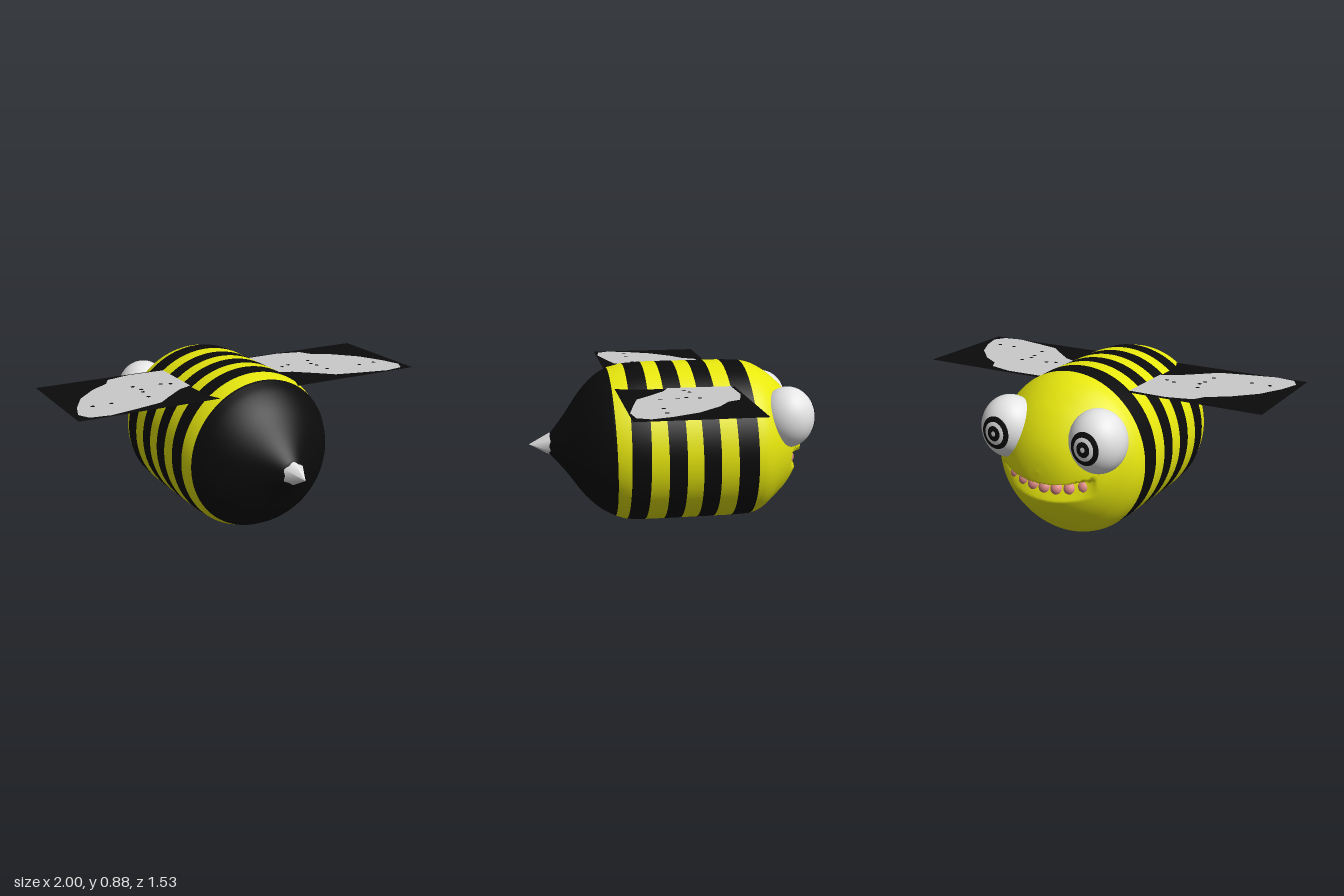
import * as THREE from 'three';

const flat = (name, color, side = THREE.FrontSide) => {
  const m = new THREE.MeshStandardMaterial({ color, side });
  m.name = name;
  return m;
};

export function createModel() {
  const yellow = flat('yellow', 0xe8e80e);
  const black = flat('black', 0x0b0b0b, THREE.DoubleSide);
  const white = flat('eye white', 0xe4e4e4);
  const wingGrey = flat('wing grey', 0xcacaca, THREE.DoubleSide);
  const pink = flat('tooth pink', 0xdc8a86);

  const bee = new THREE.Group();
  bee.name = 'bee';
  const add = (name, geometry, material, parent = bee) => {
    const mesh = new THREE.Mesh(geometry, material);
    mesh.name = name;
    parent.add(mesh);
    return mesh;
  };

  // Body: rings from tail (+z) to head (-z), each [z at top, z at bottom, radius, material index]
  const CY = 0.438, SEG = 120;
  const sample = (pts, n) =>
    new THREE.CatmullRomCurve3(pts.map(([z, r]) => new THREE.Vector3(r, 0, z))).getPoints(n);
  const rings = [[0.66, 0.66, 0, 1]];
  sample([[0.66, 0.05], [0.58, 0.15], [0.477, 0.295], [0.4, 0.37], [0.335, 0.41]], 20)
    .forEach((p, i) => rings.push([p.z, p.z - 0.025 * (i / 20), p.x, 1]));
  const stripes = [
    [0.25, 0.25, 0.431], [0.15, 0.15, 0.437], [0.07, 0.045, 0.438], [-0.025, -0.05, 0.438],
    [-0.107, -0.14, 0.438], [-0.2, -0.235, 0.438], [-0.29, -0.333, 0.438], [-0.403, -0.44, 0.434],
  ];
  rings[rings.length - 1][3] = 0;
  stripes.forEach(([t, b, r], i) => rings.push([t, b, r, i % 2 ? 0 : 1]));
  const headStart = rings.length;
  sample([[-0.403, 0.434], [-0.465, 0.418], [-0.53, 0.383], [-0.59, 0.336], [-0.64, 0.287],
    [-0.69, 0.218], [-0.725, 0.145], [-0.742, 0.075], [-0.748, 0]], 70)
    .slice(1).forEach((p, i) => rings.push([p.z, p.z - 0.037 * Math.max(0, 1 - i / 20), p.x, 0]));

  const pos = [], index = [];
  const body = new THREE.BufferGeometry();
  rings.forEach(([zTop, zBottom, r, mat], i) => {
    for (let j = 0; j < SEG; j++) {
      const a = (j / SEG) * Math.PI * 2;
      const x = r * Math.sin(a), y = CY + r * Math.cos(a);
      let z = THREE.MathUtils.lerp(zTop, zBottom, (1 - Math.cos(a)) / 2);
      // Smile: a notch cut in under the upper lip, sloping out to the lower lip
      const rise = (y - (0.275 + 0.6 * x * x)) / 0.1;
      if (i >= headStart && Math.abs(x) < 0.28 && rise > 0 && rise < 1)
        z += 0.075 * rise * (1 - (x / 0.28) ** 4);
      pos.push(x, y, z);
      if (i === rings.length - 1) continue;
      const k = (j + 1) % SEG, p = i * SEG, q = p + SEG;
      index.push(p + j, p + k, q + j, p + k, q + k, q + j);
    }
    if (i < rings.length - 1) body.addGroup(i * SEG * 6, SEG * 6, mat);
  });
  body.setAttribute('position', new THREE.Float32BufferAttribute(pos, 3));
  body.setIndex(index);
  body.computeVertexNormals();
  add('stripedBody', body, [yellow, black]);

  // Sting
  const sting = add('sting', new THREE.ConeGeometry(0.064, 0.115, 6).rotateX(Math.PI / 2), white);
  sting.position.set(0, 0.44, 0.71);

  // Teeth along the smile
  for (let i = -3; i <= 3; i++) {
    const x = i * 0.068;
    const tooth = add('tooth', new THREE.SphereGeometry(0.035, 16, 12), pink);
    tooth.position.set(x, 0.335 + 0.6 * x * x, -0.678 + 1.1 * x * x);
  }

  // Eyes: egg-shaped balls with curved ring and pupil plates facing -z
  const cap = (r, from, to) =>
    new THREE.SphereGeometry(r, 40, 8, 0, Math.PI * 2, from, to - from).rotateX(-Math.PI / 2);
  for (const [name, x, z] of [['leftEye', 0.25, -0.615], ['rightEye', -0.262, -0.592]]) {
    const eye = new THREE.Group();
    eye.name = name;
    eye.position.set(x, 0.6, z);
    eye.scale.set(0.15, 0.165, 0.147);
    add('eyeball', new THREE.SphereGeometry(1, 40, 28), white, eye);
    add('irisRing', cap(1.02, 0.37, 0.54), black, eye);
    add('pupil', cap(1.02, 0.08, 0.24), black, eye);
    bee.add(eye);
  }

  // Wings: one flat black sheet with a pale wing shape on both faces, either side
  const WY = 0.78;
  add('wingSheet', new THREE.PlaneGeometry(2, 0.635).rotateX(-Math.PI / 2), black).position.y = WY;
  const outline = [
    [0.15, -0.29], [0.26, -0.295], [0.48, -0.3], [0.615, -0.265], [0.65, -0.2], [0.75, -0.135],
    [0.865, -0.015], [0.935, 0.12], [0.97, 0.23], [0.935, 0.295], [0.83, 0.31], [0.67, 0.275],
    [0.53, 0.24], [0.46, 0.175], [0.35, 0.08], [0.26, 0.04], [0.15, 0],
  ];
  const spots = [[0.55, -0.075], [0.53, -0.01], [0.54, 0.035], [0.4, -0.05], [0.35, -0.03],
    [0.55, 0.125], [0.76, 0.14], [0.86, 0.14]];
  for (const side of [1, -1]) {
    const shape = new THREE.Shape(outline.map(([x, z]) => new THREE.Vector2(side * x, -z)));
    for (const face of [1, -1]) {
      const wing = add(side > 0 ? 'leftWing' : 'rightWing',
        new THREE.ShapeGeometry(shape).rotateX(-face * Math.PI / 2), wingGrey);
      wing.position.y = WY + face * 0.003;
      wing.scale.z = face;
    }
    for (const [x, z] of spots) {
      const spot = add('wingSpot', new THREE.CircleGeometry(0.012, 7).rotateX(-Math.PI / 2), black);
      spot.position.set(side * x, WY + 0.005, z);
    }
  }
  return bee;
}
